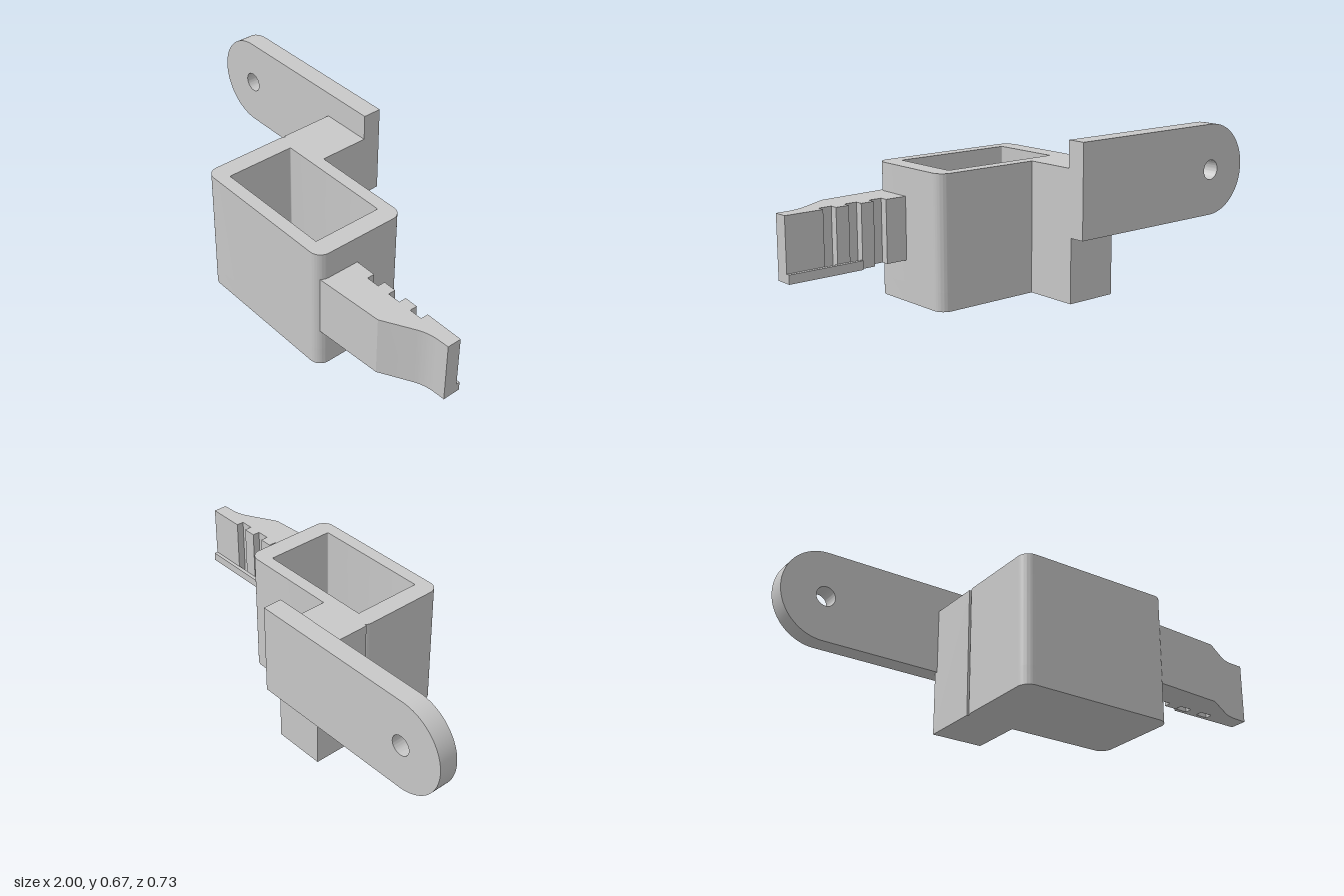
import * as THREE from 'three';
import { toCreasedNormals } from 'three/addons/utils/BufferGeometryUtils.js';

const grey = new THREE.MeshStandardMaterial({ color: 0xc8c8c8 });
grey.name = 'light grey plastic';

function part(name, geometry) {
  const mesh = new THREE.Mesh(geometry, grey);
  mesh.name = name;
  return mesh;
}

// Rounded rectangle outline in plan (x, z)
function roundedRect(target, x0, z0, x1, z1, r) {
  target.moveTo(x0 + r, z0);
  target.lineTo(x1 - r, z0);
  target.absarc(x1 - r, z0 + r, r, -Math.PI / 2, 0);
  target.lineTo(x1, z1 - r);
  target.absarc(x1 - r, z1 - r, r, 0, Math.PI / 2);
  target.lineTo(x0 + r, z1);
  target.absarc(x0 + r, z1 - r, r, Math.PI / 2, Math.PI);
  target.lineTo(x0, z0 + r);
  target.absarc(x0 + r, z0 + r, r, Math.PI, Math.PI * 1.5);
  return target;
}

// Extrude a plan outline (x, z) upward between two heights
function extrudePlan(shape, y0, y1) {
  const g = new THREE.ExtrudeGeometry(shape, { depth: y1 - y0, bevelEnabled: false, curveSegments: 12 });
  g.rotateX(Math.PI / 2).translate(0, y1, 0);
  return toCreasedNormals(g, 0.4);
}

// Box given by its minimum and maximum corners
function block(name, [x0, y0, z0], [x1, y1, z1]) {
  const g = new THREE.BoxGeometry(x1 - x0, y1 - y0, z1 - z0);
  g.translate((x0 + x1) / 2, (y0 + y1) / 2, (z0 + z1) / 2);
  return part(name, g);
}

export function createModel() {
  const model = new THREE.Group();
  model.name = 'bracket';

  // Open-topped holder: solid floor and hollow walls
  const outline = () => roundedRect(new THREE.Shape(), -0.267, -0.06, 0.441, 0.364, 0.05);
  const walls = outline();
  walls.holes.push(roundedRect(new THREE.Path(), -0.184, -0.005, 0.357, 0.307, 0.004));
  const floorTop = 0.08;
  model.add(part('holderWalls', extrudePlan(walls, floorTop, 0.56)));
  model.add(part('holderFloor', extrudePlan(outline(), 0, floorTop)));

  // Post joining the holder to the mounting plate
  model.add(block('post', [-0.267, 0, -0.297], [-0.035, 0.56, -0.04]));

  // Mounting plate with a round end and a screw hole
  const plate = new THREE.Shape();
  plate.moveTo(-0.035, 0.275);
  plate.lineTo(-0.035, 0.674);
  plate.lineTo(-0.8, 0.674);
  plate.absarc(-0.8, 0.4745, 0.1995, Math.PI / 2, Math.PI * 1.5);
  const hole = new THREE.Path();
  hole.absarc(-0.8, 0.4745, 0.043, 0, Math.PI * 2);
  plate.holes.push(hole);
  const plateGeometry = new THREE.ExtrudeGeometry(plate, { depth: 0.083, bevelEnabled: false, curveSegments: 24 });
  plateGeometry.translate(0, 0, -0.364);
  model.add(part('mountingPlate', toCreasedNormals(plateGeometry, 0.4)));

  // Tapered arm with three notches in its back face
  const arm = new THREE.Shape();
  arm.moveTo(0.418, 0.17);
  for (const [a, b] of [[0.537, 0.596], [0.655, 0.713], [0.772, 0.83]]) {
    arm.lineTo(a, 0.17);
    arm.lineTo(a, 0.203);
    arm.lineTo(b, 0.203);
    arm.lineTo(b, 0.17);
  }
  arm.lineTo(1, 0.17);
  arm.lineTo(1, 0.232);
  arm.lineTo(0.95, 0.234);
  arm.quadraticCurveTo(0.905, 0.236, 0.865, 0.257);
  arm.lineTo(0.735, 0.329);
  arm.lineTo(0.418, 0.348);
  model.add(part('arm', extrudePlan(arm, 0.175, 0.44)));

  // Thin lip along the lower back edge of the arm
  model.add(block('armLip', [0.662, 0.175, 0.154], [1, 0.213, 0.171]));

  return model;
}
